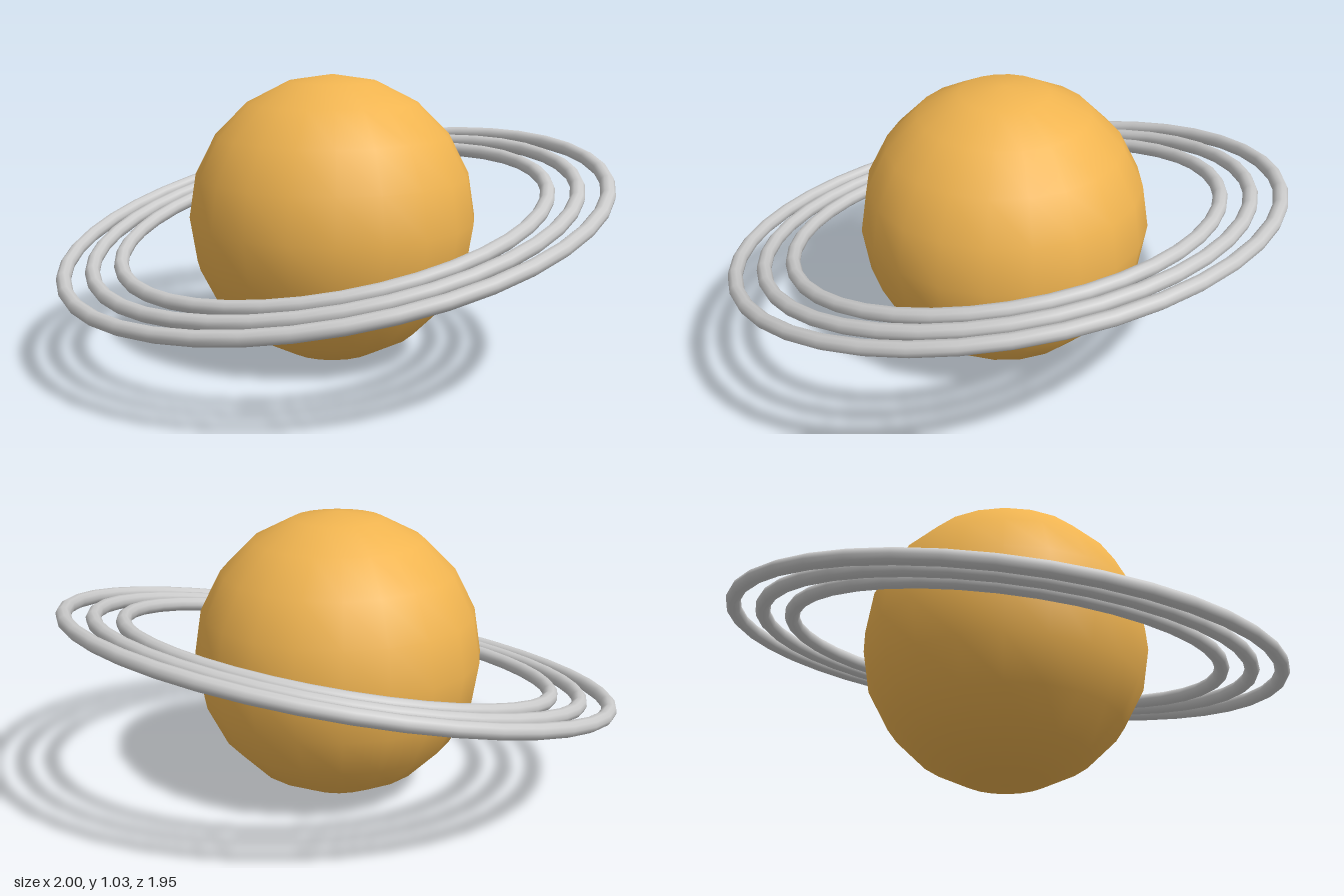
import * as THREE from 'three';

const RADIUS = 0.513;
const TILT = 0.22;
const RING_RADII = [0.769, 0.872, 0.974];
const RING_THICKNESS = 0.026;

export function createModel() {
  const model = new THREE.Group();
  model.name = 'ringedPlanet';

  // Smooth-shaded globe standing on the ground
  const globe = new THREE.Mesh(
    new THREE.SphereGeometry(RADIUS, 20, 10),
    new THREE.MeshStandardMaterial({ color: 0xf0b450 })
  );
  globe.name = 'globe';
  globe.position.y = RADIUS;
  model.add(globe);

  // Three concentric rings, tilted down towards the front
  const rings = new THREE.Group();
  rings.name = 'rings';
  rings.position.y = RADIUS;
  rings.rotation.x = TILT;
  const ringMaterial = new THREE.MeshStandardMaterial({ color: 0xcccccc });
  const names = ['innerRing', 'middleRing', 'outerRing'];
  RING_RADII.forEach((radius, i) => {
    const ring = new THREE.Mesh(
      new THREE.TorusGeometry(radius, RING_THICKNESS, 10, 40),
      ringMaterial
    );
    ring.name = names[i];
    ring.rotation.x = Math.PI / 2;
    rings.add(ring);
  });
  model.add(rings);

  return model;
}
